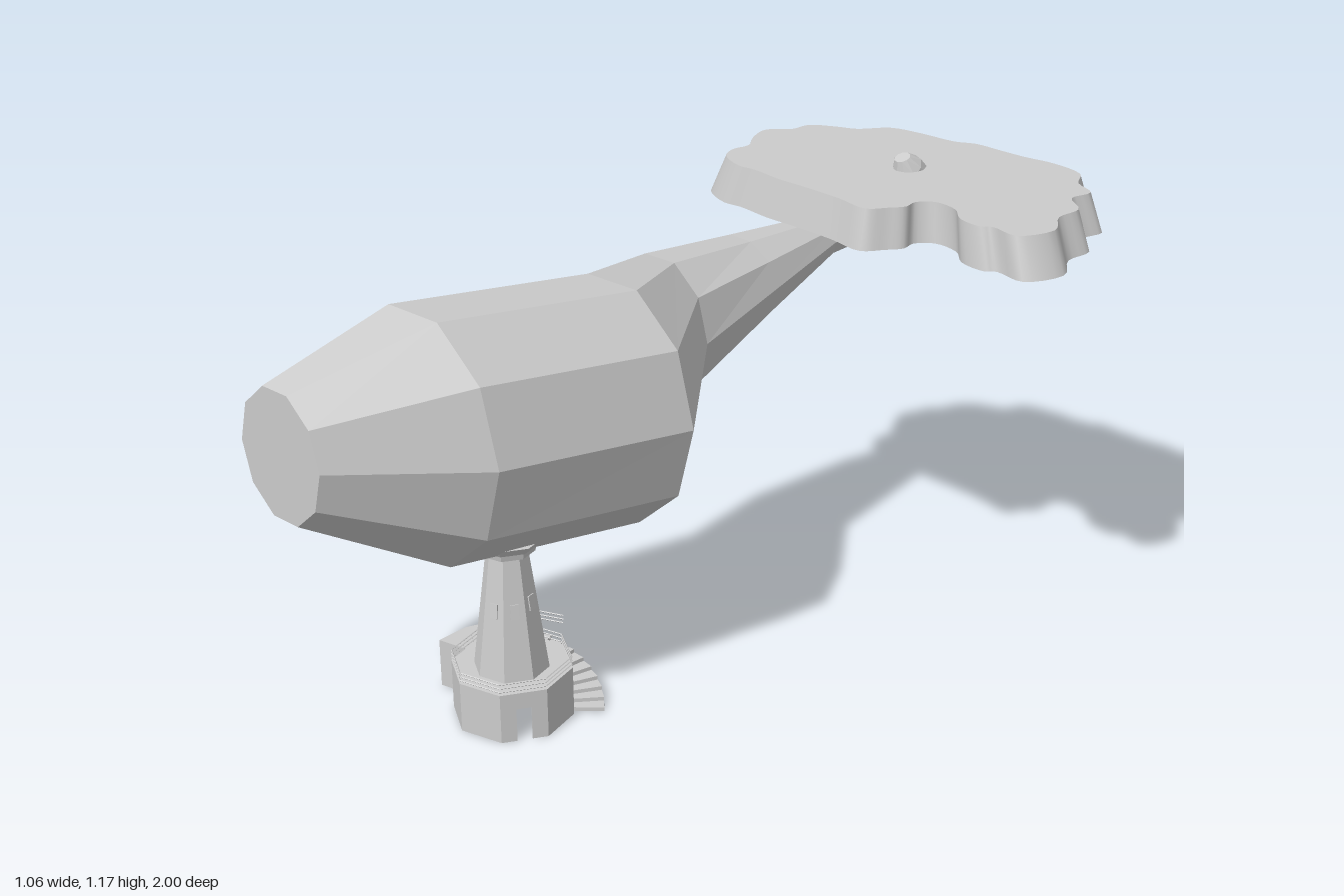
import * as THREE from 'three';

const flat = new THREE.MeshStandardMaterial({ color: 0xcccccc, flatShading: true, side: THREE.DoubleSide });
const smooth = new THREE.MeshStandardMaterial({ color: 0xcccccc, side: THREE.DoubleSide });

function add(parent, name, geometry, x = 0, y = 0, z = 0, material = flat) {
  const mesh = new THREE.Mesh(geometry, material);
  mesh.name = name;
  mesh.position.set(x, y, z);
  parent.add(mesh);
  return mesh;
}

// Ten-sided rings along a bending path: [x, y, z, half width, half height]
const RINGS = [
  [-0.19, 0.793, 0.973, 0.132, 0.16],
  [-0.16, 0.755, 0.65, 0.255, 0.308],
  [-0.125, 0.72, 0.15, 0.25, 0.306],
  [-0.29, 0.782, -0.11, 0.155, 0.187],
  [-0.335, 0.83, -0.41, 0.115, 0.112],
  [-0.355, 0.872, -0.68, 0.06, 0.055],
  [-0.32, 0.9, -0.86, 0.043, 0.043],
  [-0.2, 0.96, -0.93, 0.04, 0.04],
  [-0.1, 1.015, -0.86, 0.036, 0.036],
  [-0.035, 1.045, -0.76, 0.036, 0.036],
  [-0.04, 1.13, -0.67, 0.045, 0.04],
  [-0.04, 1.165, -0.655, 0.02, 0.02],
];

function sweptBody() {
  const n = 10, pos = [], index = [];
  const pts = RINGS.map(r => new THREE.Vector3(r[0], r[1], r[2]));
  const side = new THREE.Vector3(0.987, 0, -0.16);
  RINGS.forEach(([, , , w, h], i) => {
    // The barrel rings are parallel; the tail rings follow the path
    const t = i < 4 ? new THREE.Vector3(-0.16, 0, -0.987)
      : pts[Math.min(i + 1, pts.length - 1)].clone().sub(pts[i - 1]).normalize();
    side.addScaledVector(t, -side.dot(t)).normalize();
    const up = side.clone().cross(t);
    for (let j = 0; j < n; j++) {
      const a = j / n * Math.PI * 2;
      const p = pts[i].clone().addScaledVector(side, w * Math.cos(a)).addScaledVector(up, h * Math.sin(a));
      pos.push(p.x, p.y, p.z);
    }
  });
  const last = (RINGS.length - 1) * n;
  for (let j = 0; j < n; j++) {
    const k = (j + 1) % n;
    for (let i = 0; i < last; i += n) {
      index.push(i + j, i + n + j, i + n + k, i + j, i + n + k, i + k);
    }
    if (j > 0 && j < n - 1) index.push(0, j, j + 1, last, last + j + 1, last + j);
  }
  const g = new THREE.BufferGeometry();
  g.setAttribute('position', new THREE.Float32BufferAttribute(pos, 3));
  g.setIndex(index);
  const out = g.toNonIndexed();
  out.computeVertexNormals();
  return out;
}

// Irregular canopy outline as x, z pairs
const OUTLINE = [
  0.17, -1, 0.27, -0.99, 0.32, -0.93, 0.39, -0.9, 0.39, -0.83, 0.46, -0.78, 0.47, -0.7, 0.53, -0.62,
  0.5, -0.52, 0.42, -0.52, 0.4, -0.5, 0.33, -0.5, 0.27, -0.54, 0.2, -0.54, 0.17, -0.5, 0.18, -0.46,
  0.16, -0.42, 0.13, -0.37, 0.03, -0.37, -0.1, -0.36, -0.18, -0.35, -0.28, -0.35, -0.33, -0.34,
  -0.42, -0.37, -0.45, -0.42, -0.45, -0.47, -0.5, -0.53, -0.53, -0.6, -0.49, -0.66, -0.49, -0.72,
  -0.43, -0.77, -0.38, -0.8, -0.33, -0.88, -0.24, -0.91, -0.13, -0.93, -0.08, -0.96, 0, -0.97, 0.08, -0.98,
];

function buildCanopy(parent) {
  const canopy = new THREE.Group();
  canopy.name = 'canopy';
  parent.add(canopy);
  const knots = [];
  for (let i = 0; i < OUTLINE.length; i += 2) knots.push(new THREE.Vector3(OUTLINE[i], 0, OUTLINE[i + 1]));
  const curve = new THREE.CatmullRomCurve3(knots, true, 'centripetal');
  const edge = curve.getPoints(152).slice(0, -1);
  const m = edge.length, pos = [], index = [];
  // Flared wall, narrower at the top and open below
  for (const [y, s] of [[1.04, 1], [1.135, 0.925]]) {
    for (const p of edge) pos.push(p.x * s, y, -0.67 + (p.z + 0.67) * s);
  }
  for (let i = 0; i < m; i++) {
    const k = (i + 1) % m;
    index.push(i, m + k, k, i, m + i, m + k);
  }
  const wall = new THREE.BufferGeometry();
  wall.setAttribute('position', new THREE.Float32BufferAttribute(pos, 3));
  wall.setIndex(index);
  wall.computeVertexNormals();
  add(canopy, 'canopyWall', wall, 0, 0, 0, smooth);
  const top = new THREE.Shape(edge.map(p => new THREE.Vector2(p.x * 0.925, -(-0.67 + (p.z + 0.67) * 0.925))));
  add(canopy, 'canopyTop', new THREE.ShapeGeometry(top).rotateX(-Math.PI / 2), 0, 1.135, 0, smooth);
}

// Solid ring wedge between two angles (0 faces +z), standing on the ground
function wedge(a0, a1, r0, r1, height) {
  const at = (r, a) => new THREE.Vector2(r * Math.sin(a), -r * Math.cos(a));
  const shape = new THREE.Shape([at(r0, a0), at(r1, a0), at(r1, a1), at(r0, a1)]);
  return new THREE.ExtrudeGeometry(shape, { depth: height, bevelEnabled: false }).rotateX(-Math.PI / 2);
}

function buildPedestal(parent) {
  const g = new THREE.Group();
  g.name = 'pedestal';
  g.position.set(-0.125, 0, 0.46);
  parent.add(g);
  const rad = THREE.MathUtils.degToRad, R = 0.145, H = 0.127;

  // Eight base walls, one with a doorway
  const half = R * Math.sin(rad(22.5)), apothem = R * Math.cos(rad(22.5));
  for (let i = 0; i < 8; i++) {
    const a = rad(22.5 + 45 * i), s = new THREE.Shape();
    s.moveTo(-half, 0);
    if (i === 1) s.lineTo(-0.018, 0).lineTo(-0.018, 0.085).lineTo(0.018, 0.085).lineTo(0.018, 0);
    s.lineTo(half, 0).lineTo(half, H).lineTo(-half, H);
    const panel = new THREE.ExtrudeGeometry(s, { depth: 0.004, bevelEnabled: false });
    const wall = add(g, 'baseWall', panel.translate(0, 0, apothem - 0.004));
    wall.rotation.y = a;
  }
  add(g, 'deck', new THREE.CylinderGeometry(R, R, 0.006, 8), 0, H - 0.003, 0);

  // Deck railing in three bars
  for (const y of [0.135, 0.145, 0.155]) {
    const bar = new THREE.TorusGeometry(R - 0.002, 0.0018, 4, 8).rotateX(Math.PI / 2);
    add(g, 'deckRail', bar, 0, y, 0);
    const arc = new THREE.TorusGeometry(0.21, 0.0018, 4, 2, rad(45)).rotateX(Math.PI / 2);
    add(g, 'landingRail', arc, 0, y, 0).rotation.y = rad(155);
  }

  // Landing on one side, then steps winding down around the back
  for (let i = 0; i < 2; i++) {
    const a = rad(245 + 22.5 * i);
    add(g, 'landing', wedge(a, a + rad(22.5), 0.13, 0.215, H - 0.002));
  }
  const steps = 12, stepAngle = rad(105 / steps);
  for (let i = 0; i < steps; i++) {
    const a = rad(140) + i * stepAngle;
    add(g, 'step', wedge(a, a + stepAngle, 0.13, 0.215, H * (i + 1) / (steps + 1)));
  }

  // Tapered tower and the collar under the barrel
  add(g, 'tower', new THREE.CylinderGeometry(0.049, 0.09, 0.31, 8), 0, H + 0.155, 0);
  add(g, 'collar', new THREE.CylinderGeometry(0.07, 0.066, 0.018, 8), 0, 0.442, 0);
  add(g, 'collarTop', new THREE.CylinderGeometry(0.09, 0.075, 0.02, 8), 0, 0.46, 0);

  // Small windows set in the sloping tower faces
  for (const [face, y] of [[22.5, 0.3], [112.5, 0.31], [67.5, 0.3], [292.5, 0.3], [292.5, 0.19], [202.5, 0.3]]) {
    const r = (0.09 - 0.041 * (y - H) / 0.31) * Math.cos(rad(22.5));
    const win = add(g, 'window', new THREE.BoxGeometry(0.02, 0.036, 0.006));
    win.position.set(r * Math.sin(rad(face)), y, r * Math.cos(rad(face)));
    win.rotation.set(-0.13, rad(face), 0, 'YXZ');
  }
}

export function createModel() {
  const model = new THREE.Group();
  model.name = 'barrelOnTower';
  add(model, 'barrelAndTail', sweptBody());
  buildCanopy(model);
  buildPedestal(model);
  return model;
}
